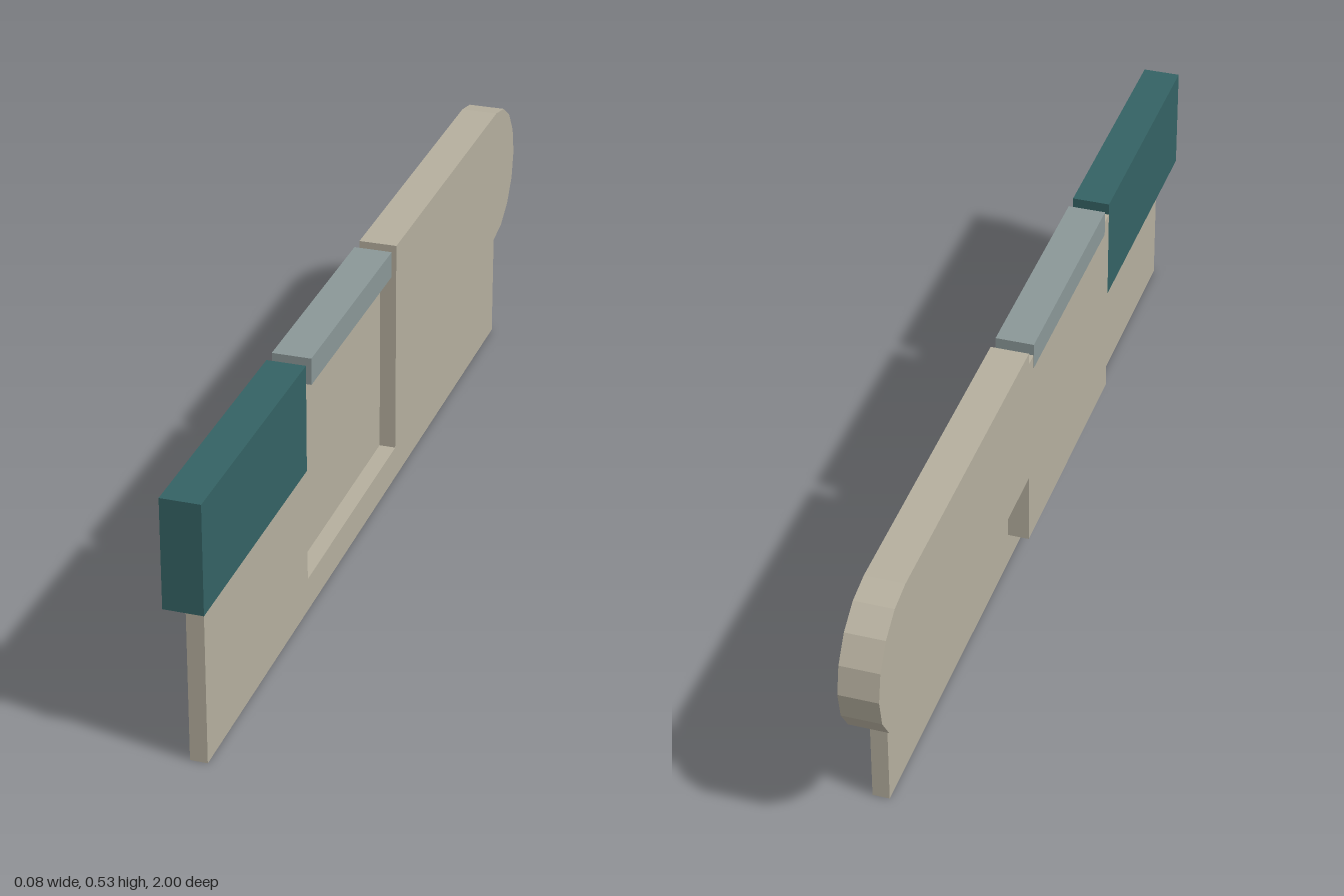
import * as THREE from 'three';

// Outline points are [z, y]; the slab runs from x0 to x1.
function slab(name, points, x0, x1, material) {
  const shape = new THREE.Shape(points.map(([z, y]) => new THREE.Vector2(-z, y)));
  const geometry = new THREE.ExtrudeGeometry(shape, { depth: x1 - x0, bevelEnabled: false });
  geometry.translate(0, 0, x0);
  geometry.rotateY(Math.PI / 2);
  const mesh = new THREE.Mesh(geometry, material);
  mesh.name = name;
  return mesh;
}

const rect = (z0, z1, y0, y1) => [[z0, y0], [z1, y0], [z1, y1], [z0, y1]];

export function createModel() {
  const beige = new THREE.MeshStandardMaterial({ color: 0xb5af9e, flatShading: true });
  beige.name = 'beige';
  const teal = new THREE.MeshStandardMaterial({ color: 0x346264, flatShading: true });
  teal.name = 'teal';
  const grey = new THREE.MeshStandardMaterial({ color: 0x8a9797, flatShading: true });
  grey.name = 'blue grey';

  const half = 0.039, step = 0.005, top = 0.53;
  const slotBack = -0.114, slotFront = 0.446, slotFloor = 0.07;
  const tealBottom = 0.307, gripBottom = 0.225, plateBack = -0.847;

  const group = new THREE.Group();
  group.name = 'model';

  // Thin lower plate with an open slot in the middle
  group.add(slab('lowerPlate', [
    [plateBack, 0], [1, 0], [1, tealBottom], [slotFront, tealBottom],
    [slotFront, slotFloor], [slotBack, slotFloor], [slotBack, gripBottom], [plateBack, gripBottom],
  ], step, half, beige));

  // Thick rear grip with a faceted round end
  const radius = (top - gripBottom) / 2;
  const grip = [[slotBack, gripBottom], [slotBack, top]];
  for (let i = 0; i <= 8; i++) {
    const a = (i / 8) * Math.PI;
    grip.push([-1 + radius - radius * Math.sin(a), gripBottom + radius + radius * Math.cos(a)]);
  }
  group.add(slab('rearGrip', grip, -half, half, beige));

  // Panel closing the slot on the right-hand side
  group.add(slab('slotPanel', rect(slotBack, slotFront, slotFloor, 0.505), -half, step, beige));

  // Cap straddling the panel's top edge, a hair proud of it
  group.add(slab('topCap', rect(-0.083, 0.415, 0.475, top), -half - 0.0004, half, grey));

  // Thick front block
  group.add(slab('frontBlock', rect(slotFront, 1, tealBottom, top), -half, half, teal));

  return group;
}
